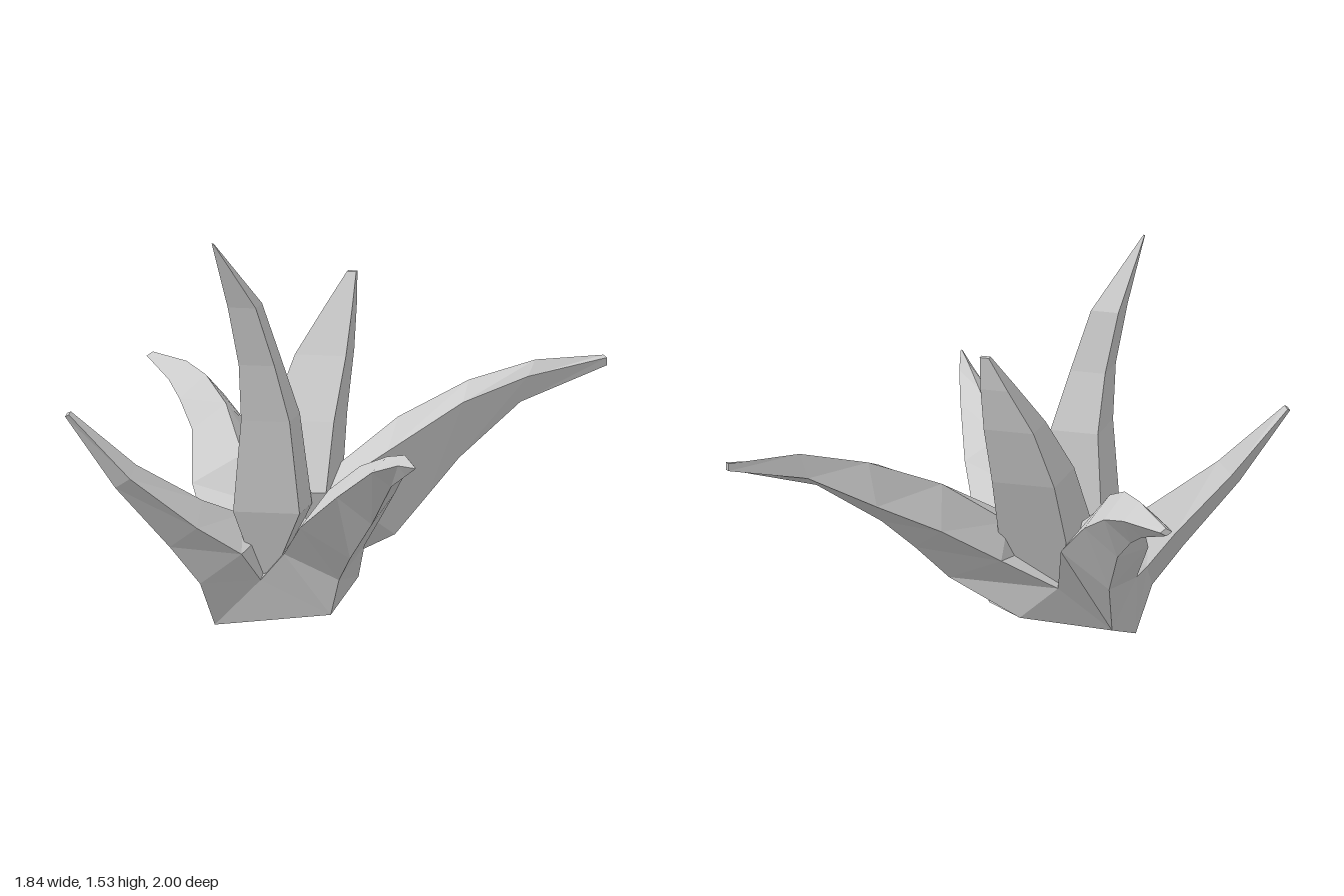
import * as THREE from 'three';

const V = (x, y, z) => new THREE.Vector3(x, y, z);
const material = new THREE.MeshStandardMaterial({ color: 0xcccccc, flatShading: true });

// Flat-shaded mesh from triangles
function facets(name, tris) {
  const geometry = new THREE.BufferGeometry().setFromPoints(tris.flat());
  geometry.computeVertexNormals();
  const mesh = new THREE.Mesh(geometry, material);
  mesh.name = name;
  return mesh;
}

// Join four-cornered cross-sections (clockwise seen from the tip) and cap the tip
function loft(name, rings) {
  const tris = [];
  for (let i = 0; i < rings.length - 1; i++) {
    for (let j = 0; j < 4; j++) {
      const k = (j + 1) % 4;
      const [a, b, c, d] = [rings[i][j], rings[i][k], rings[i + 1][k], rings[i + 1][j]];
      tris.push([a, c, b], [a, d, c]);
    }
  }
  const e = rings[rings.length - 1];
  tris.push([e[0], e[2], e[1]], [e[0], e[3], e[2]]);
  return facets(name, tris);
}

// Arching leaf: diamond sections along a spine of [x, y, z, half width, half depth]
function archingLeaf(name, root, spine) {
  const centres = spine.map(([x, y, z]) => V(x, y, z));
  const start = root[0].clone().add(root[2]).multiplyScalar(0.5);
  const rings = spine.map(([, , , w, h], i) => {
    const p = centres[i];
    const tangent = (centres[i + 1] ?? p).clone().sub(centres[i - 1] ?? start).normalize();
    const side = V(tangent.z, 0, -tangent.x).normalize();
    const up = tangent.clone().cross(side).normalize();
    const at = (dir, d) => p.clone().addScaledVector(dir, d);
    return [at(side, -w), at(up, h), at(side, w), at(up, -h)];
  });
  return loft(name, [root, ...rings]);
}

// Upright leaf: four-sided sections of [x, y, z, half width, half depth]
function uprightLeaf(name, sections) {
  return loft(name, sections.map(([x, y, z, w, d]) => [
    V(x - w, y, z + d), V(x - w, y, z - d), V(x + w, y, z - d), V(x + w, y, z + d),
  ]));
}

export function createModel() {
  const group = new THREE.Group();
  group.name = 'plant';

  // Base corners and the notches between neighbouring leaves, counter-clockwise from above
  const corners = [V(-0.4, 0, 0.18), V(0.06, 0.06, 0.21), V(-0.06, 0.16, -0.23), V(-0.4, 0.11, -0.13)];
  const notches = [V(-0.21, 0.19, 0.23), V(0.11, 0.16, -0.08), V(-0.22, 0.3, -0.25), V(-0.45, 0.28, 0.03)];
  const crown = V(-0.15, 0.42, 0.02);
  const root = (i) => [notches[(i + 3) % 4], crown, notches[i], corners[i]];

  // Tilted base that the leaves grow out of
  const base = [[corners[0], corners[2], corners[1]], [corners[0], corners[3], corners[2]]];
  for (let i = 0; i < 4; i++) base.push([corners[i], corners[(i + 1) % 4], notches[i]]);
  group.add(facets('base', base));

  // Arching outer leaves, each keeled on a base corner
  group.add(archingLeaf('frontRightLeaf', root(0), [
    [-0.37, 0.3, 0.2, 0.14, 0.16], [-0.49, 0.41, 0.29, 0.11, 0.11],
    [-0.7, 0.61, 0.42, 0.06, 0.06], [-0.91, 0.86, 0.5, 0.02, 0.015]]));
  group.add(archingLeaf('frontLeftLeaf', root(1), [
    [0.02, 0.3, 0.14, 0.18, 0.15], [0.1, 0.42, 0.24, 0.17, 0.15], [0.24, 0.57, 0.42, 0.12, 0.12],
    [0.38, 0.71, 0.66, 0.07, 0.06], [0.48, 0.77, 0.84, 0.03, 0.04], [0.55, 0.79, 1, 0.004, 0.004]]));
  group.add(archingLeaf('backRightLeaf', root(3), [
    [-0.41, 0.48, -0.26, 0.17, 0.17], [-0.51, 0.65, -0.47, 0.115, 0.125], [-0.61, 0.74, -0.61, 0.095, 0.1],
    [-0.705, 0.785, -0.75, 0.07, 0.07], [-0.88, 0.825, -0.985, 0.025, 0.015]]));

  // Outer leaf twisted on its side: front, top, rear and lower corners of each section
  const twisted = [
    [[0, 0.5, -0.05], [-0.02, 0.55, -0.25], [-0.02, 0.42, -0.34], [0.22, 0.3, -0.24]],
    [[0.2, 0.63, -0.19], [0.2, 0.73, -0.4], [0.18, 0.56, -0.47], [0.33, 0.44, -0.33]],
    [[0.45, 0.79, -0.42], [0.44, 0.85, -0.58], [0.4, 0.68, -0.6], [0.43, 0.57, -0.44]],
    [[0.66, 0.86, -0.64], [0.67, 0.91, -0.73], [0.64, 0.81, -0.72], [0.63, 0.76, -0.64]],
    [[0.92, 0.9, -0.88], [0.9, 0.905, -0.91], [0.9, 0.875, -0.91], [0.92, 0.87, -0.88]],
  ];
  group.add(loft('backLeftLeaf', [root(2), ...twisted.map((ring) => ring.map((p) => V(...p)))]));

  // Two upright inner leaves
  group.add(uprightLeaf('tallInnerLeaf', [
    [-0.2, 0.17, 0.13, 0.02, 0.07], [-0.18, 0.46, 0.15, 0.13, 0.12], [-0.18, 0.82, 0.19, 0.095, 0.1],
    [-0.21, 1.04, 0.24, 0.07, 0.07], [-0.26, 1.27, 0.29, 0.055, 0.06], [-0.36, 1.53, 0.42, 0.003, 0.003]]));
  group.add(uprightLeaf('shortInnerLeaf', [
    [-0.1, 0.2, -0.12, 0.08, 0.06], [-0.13, 0.5, -0.13, 0.135, 0.16], [-0.12, 0.75, -0.25, 0.125, 0.13],
    [-0.08, 0.98, -0.36, 0.1, 0.08], [-0.03, 1.15, -0.42, 0.055, 0.045], [0.008, 1.28, -0.46, 0.018, 0.012]]));

  return group;
}
